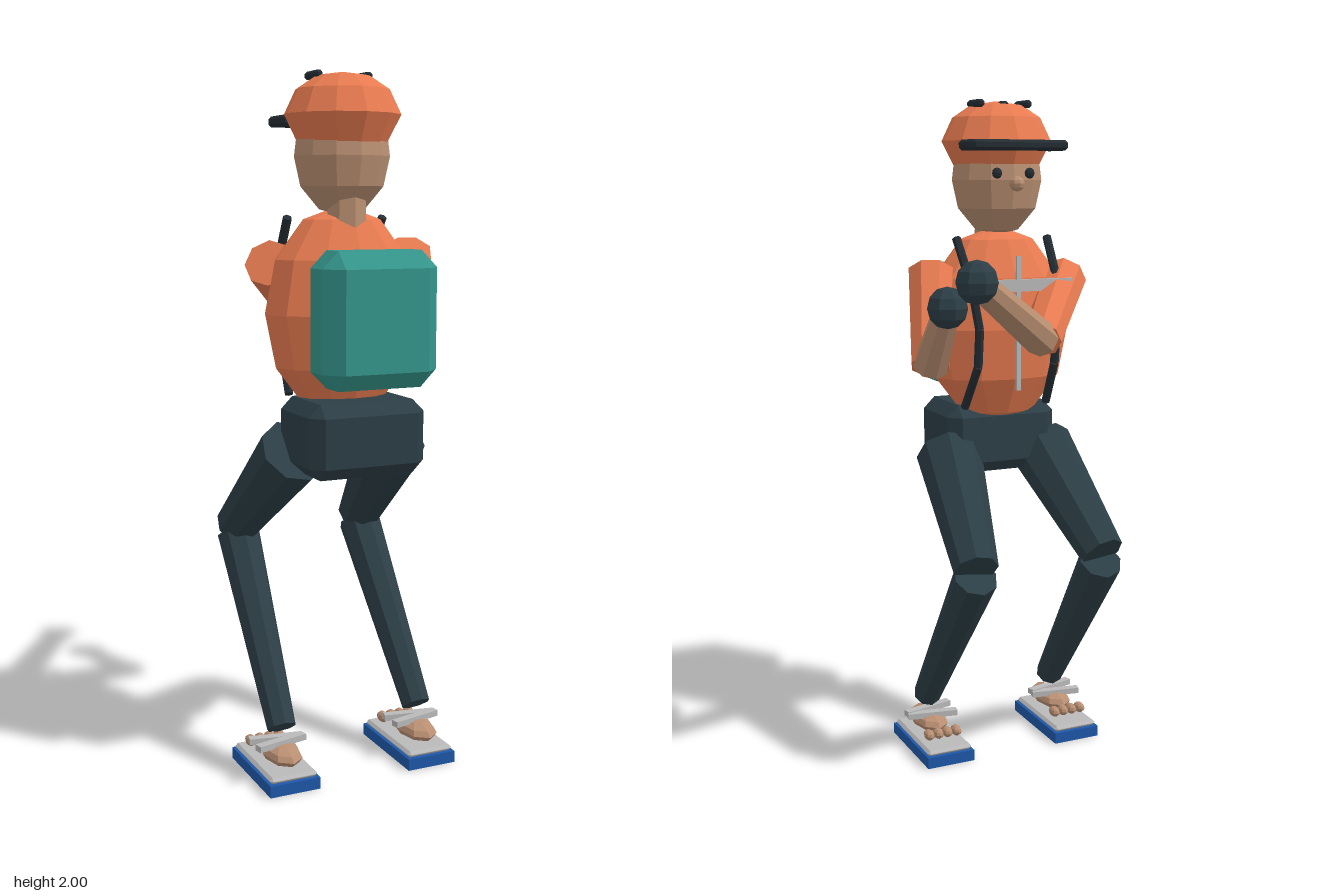
import * as THREE from 'three';
import { ConvexGeometry } from 'three/addons/geometries/ConvexGeometry.js';

const CX = -0.034; // body centre line
const V = (x, y, z) => new THREE.Vector3(x, y, z);
const mat = (color, side = THREE.FrontSide) => new THREE.MeshStandardMaterial({ color, flatShading: true, side });
const orange = mat(0xe87b50), skin = mat(0xb98f72), dark = mat(0x2c3e46), black = mat(0x232d33);
const teal = mat(0x35968c), grey = mat(0xb9b9b9), blue = mat(0x1d57a8);

export function createModel() {
  const root = new THREE.Group();

  function add(name, geometry, material, x = 0, y = 0, z = 0, parent = root) {
    const m = new THREE.Mesh(geometry, material);
    m.name = name;
    m.position.set(x, y, z);
    parent.add(m);
    return m;
  }

  // Box with a single flat chamfer along every edge
  function chamferBox(w, h, d, c) {
    const pts = [];
    for (const i of [-1, 1]) for (const j of [-1, 1]) for (const k of [-1, 1]) {
      const x = w / 2, y = h / 2, z = d / 2;
      pts.push(V(i * x, j * (y - c), k * (z - c)), V(i * (x - c), j * y, k * (z - c)), V(i * (x - c), j * (y - c), k * z));
    }
    return new ConvexGeometry(pts);
  }

  // Tapered eight-sided limb between two points
  function limb(name, a, b, ra, rb, material, parent = root, sides = 8) {
    const m = add(name, new THREE.CylinderGeometry(rb, ra, a.distanceTo(b), sides), material, 0, 0, 0, parent);
    m.position.copy(a).lerp(b, 0.5);
    m.quaternion.setFromUnitVectors(V(0, 1, 0), b.clone().sub(a).normalize());
    return m;
  }

  // Faceted ellipsoid
  function blob(name, x, y, z, rx, ry, rz, material, parent = root, w = 8, h = 6) {
    return add(name, new THREE.SphereGeometry(1, w, h).scale(rx, ry, rz), material, x, y, z, parent);
  }

  // Flat bar whose long side runs from a to b
  function bar(name, a, b, w, t, material, parent = root) {
    const m = add(name, new THREE.BoxGeometry(w, t, a.distanceTo(b)), material, 0, 0, 0, parent);
    m.position.copy(a).lerp(b, 0.5);
    m.lookAt(b);
    return m;
  }

  // Trunk
  blob('torso', CX, 1.335, 0.15, 0.233, 0.3, 0.155, orange, root, 12, 6);
  add('pelvis', chamferBox(0.352, 0.21, 0.264, 0.035), dark, CX, 0.995, 0.219);
  add('backpack', chamferBox(0.341, 0.371, 0.17, 0.047), teal, CX, 1.33, 0.355);
  add('neck', new THREE.CylinderGeometry(0.055, 0.06, 0.14, 8), skin, CX, 1.62, 0.18);

  // Head and face, looking towards -z
  const headProfile = [[0, 1.605], [0.065, 1.622], [0.118, 1.685], [0.136, 1.767], [0.128, 1.83], [0, 1.88]];
  const head = new THREE.LatheGeometry(headProfile.map(p => new THREE.Vector2(...p)), 12);
  add('head', head.scale(1, 1, 0.93), skin, CX, 0, 0.15);
  blob('nose', CX, 1.757, 0.008, 0.024, 0.022, 0.024, skin);
  for (const s of [-1, 1]) blob('eye', CX + s * 0.052, 1.787, 0.032, 0.016, 0.016, 0.014, black);

  // Cap with visor and vents
  const capProfile = [[0, 1.79], [0.125, 1.802], [0.165, 1.88], [0.132, 1.948], [0.077, 1.984], [0, 1.995]];
  const cap = new THREE.LatheGeometry(capProfile.map(p => new THREE.Vector2(...p)), 12);
  add('cap', cap.scale(1, 1, 0.95), orange, CX, 0, 0.153);
  add('visor', chamferBox(0.303, 0.03, 0.112, 0.008), black, CX, 1.866, 0.031);
  for (const s of [-1, 1]) add('capVent', chamferBox(0.023, 0.022, 0.086, 0.007), black, CX + s * 0.076, 1.986, 0.128);
  add('capCentreVent', chamferBox(0.022, 0.016, 0.038, 0.006), black, CX, 1.985, 0.104);

  // Shoulder straps down the chest
  const strapPath = [[0.148, 1.6, 0.11], [0.14, 1.46, 0.015], [0.125, 1.34, -0.004], [0.125, 1.23, 0.008], [0.135, 1.1, 0.085]];
  for (const s of [-1, 1]) {
    for (let i = 0; i < strapPath.length - 1; i++) {
      const [a, b] = [strapPath[i], strapPath[i + 1]].map(([x, y, z]) => V(CX + s * x, y, z));
      limb('shoulderStrap', a, b, 0.013, 0.013, black, root, 6);
    }
  }
  add('chestStrap', new THREE.BoxGeometry(0.35, 0.035, 0.016), grey, CX, 1.465, 0);
  add('zip', new THREE.BoxGeometry(0.014, 0.395, 0.008), grey, CX, 1.353, -0.003);

  // Arms: shoulder, elbow, hand
  const arms = {
    leftArm: [V(0.185, 1.5, 0.135), V(0.262, 1.25, -0.045), V(0.265, 1.427, -0.183)],
    rightArm: [V(-0.235, 1.475, 0.1), V(-0.047, 1.32, -0.132), V(0.265, 1.51, -0.382)],
  };
  for (const [name, [shoulder, elbow, hand]] of Object.entries(arms)) {
    const arm = new THREE.Group();
    arm.name = name;
    root.add(arm);
    limb('sleeve', shoulder, elbow, 0.07, 0.057, orange, arm);
    limb('forearm', elbow, hand, 0.052, 0.037, skin, arm);
    blob('hand', hand.x, hand.y, hand.z, 0.06, 0.058, 0.06, dark, arm);
  }

  // Legs in a deep crouch, with sandals
  for (const s of [-1, 1]) {
    const leg = new THREE.Group();
    leg.name = s > 0 ? 'leftLeg' : 'rightLeg';
    leg.position.x = CX;
    root.add(leg);
    limb('thigh', V(s * 0.155, 0.95, 0.165), V(s * 0.207, 0.67, -0.158), 0.1, 0.066, dark, leg);
    limb('shin', V(s * 0.205, 0.645, -0.15), V(s * 0.218, 0.158, 0.214), 0.066, 0.043, dark, leg);

    const x = s * 0.218;
    add('outsole', new THREE.BoxGeometry(0.153, 0.034, 0.302), blue, x, 0.017, 0.165, leg);
    add('footbed', chamferBox(0.145, 0.018, 0.288, 0.008), grey, x, 0.042, 0.165, leg);
    blob('foot', x, 0.083, 0.205, 0.054, 0.029, 0.1, skin, leg);
    for (let i = 0; i < 4; i++) blob('toe', x + (i - 1.5) * 0.03, 0.078, 0.085, 0.016, 0.016, 0.025, skin, leg);
    bar('frontStrap', V(x - 0.076, 0.108, 0.15), V(x + 0.076, 0.108, 0.19), 0.026, 0.018, grey, leg);
    bar('backStrap', V(x - 0.076, 0.112, 0.235), V(x + 0.076, 0.112, 0.185), 0.026, 0.018, grey, leg);
  }
  return root;
}
